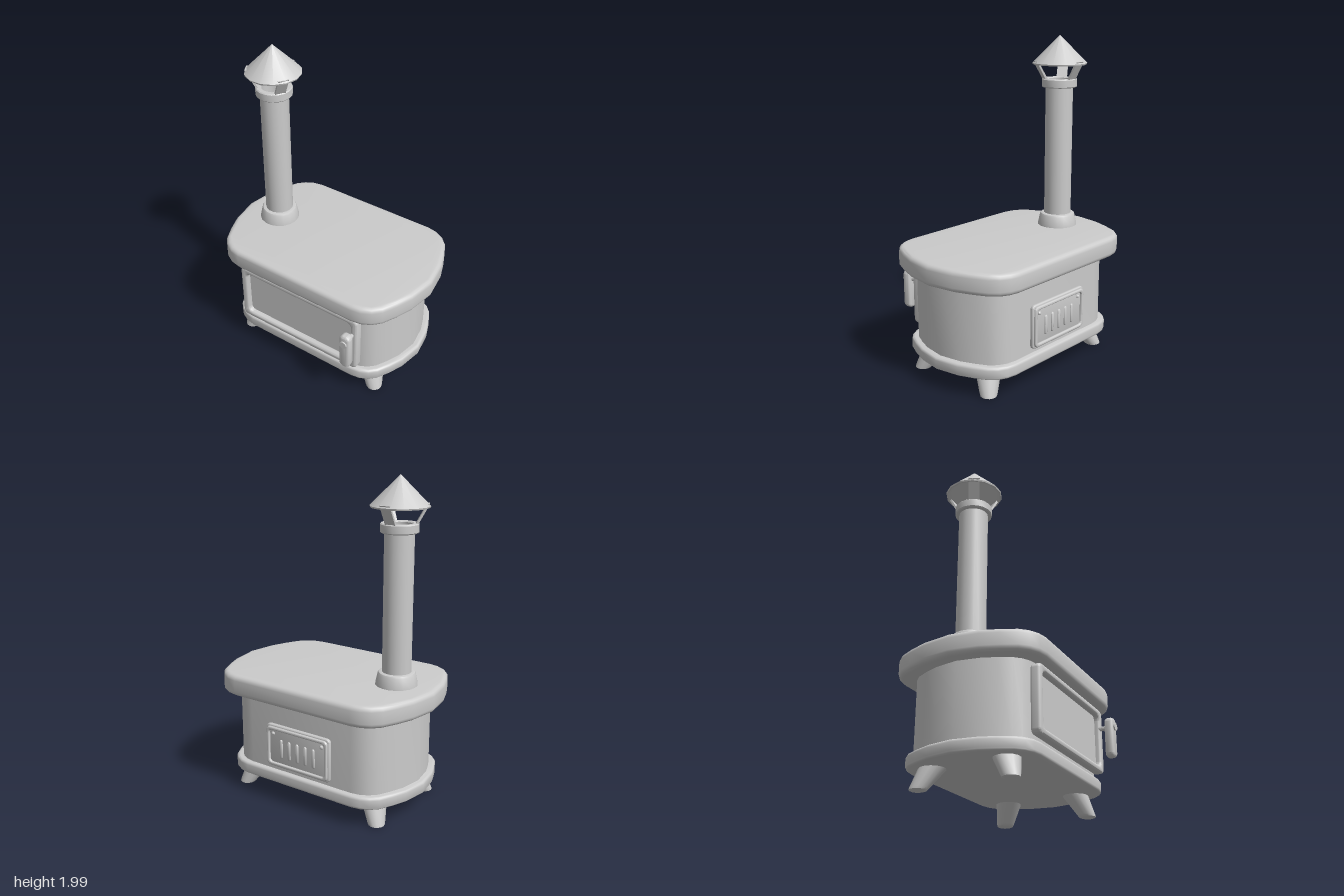
import * as THREE from 'three';
import { toCreasedNormals } from 'three/addons/utils/BufferGeometryUtils.js';

const CZ = -0.03; // depth centre of the stove body
const FLUE = [-0.445, -0.035]; // x, z of the chimney

export function createModel() {
  const root = new THREE.Group();
  root.name = 'woodStove';
  const mat = new THREE.MeshStandardMaterial({ color: 0xcccccc });
  const matDouble = new THREE.MeshStandardMaterial({ color: 0xcccccc, side: THREE.DoubleSide });

  function add(name, geo, x = 0, y = 0, z = 0, parent = root, crease = 0.7, m = mat) {
    const mesh = new THREE.Mesh(toCreasedNormals(geo, crease), m);
    mesh.name = name;
    mesh.position.set(x, y, z);
    parent.add(mesh);
    return mesh;
  }

  // Extrusion whose bevel stays inside the outline; runs from 0 to depth
  function extrude(shape, depth, bevel) {
    const geo = new THREE.ExtrudeGeometry(shape, {
      depth: depth - 2 * bevel, bevelEnabled: bevel > 0, bevelThickness: bevel,
      bevelSize: bevel, bevelOffset: -bevel, bevelSegments: 4, curveSegments: 6,
    });
    return geo.translate(0, 0, bevel);
  }

  // Bowed oblong plan of half-width hx and half-depth hz
  function plan(hx, hz) {
    const q = [[0.42, 0.46], [0.485, 0.448], [0.54, 0.418], [0.585, 0.37], [0.628, 0.28], [0.667, 0.175]];
    const flip = (sx, sz) => q.map(([x, z]) => [sx * x, sz * z]);
    const loop = [...flip(1, -1), [0.695, 0], ...flip(1, 1).reverse(),
      ...flip(-1, 1), [-0.695, 0], ...flip(-1, -1).reverse()];
    return new THREE.Shape(loop.map(([x, z]) => new THREE.Vector2(x * hx / 0.695, z * hz / 0.46)));
  }

  function slab(name, hx, hz, y0, y1, bevel) {
    add(name, extrude(plan(hx, hz), y1 - y0, bevel).rotateX(-Math.PI / 2), 0, y0, CZ);
  }

  function roundRect(w, h, r, path = new THREE.Shape()) {
    const x = w / 2, y = h / 2;
    path.moveTo(-x + r, -y).lineTo(x - r, -y).absarc(x - r, -y + r, r, -Math.PI / 2, 0)
      .lineTo(x, y - r).absarc(x - r, y - r, r, 0, Math.PI / 2)
      .lineTo(-x + r, y).absarc(-x + r, y - r, r, Math.PI / 2, Math.PI)
      .lineTo(-x, -y + r).absarc(-x + r, -y + r, r, Math.PI, Math.PI * 1.5);
    return path;
  }

  const lathe = (pts, sides) => new THREE.LatheGeometry(
    pts.map(([r, y]) => new THREE.Vector2(r, y)), sides, Math.PI / 2);

  // Firebox and its two plates
  slab('basePlate', 0.645, 0.4, 0.135, 0.213, 0.018);
  slab('firebox', 0.607, 0.368, 0.2, 0.68, 0);
  slab('cooktop', 0.695, 0.458, 0.66, 0.79, 0.03);

  // Four splayed feet
  for (const sx of [-1, 1]) for (const sz of [-1, 1]) {
    const geo = lathe([[0, 0.01], [0.038, 0.01], [0.049, 0.014], [0.053, 0.026], [0.08, 0.15], [0, 0.15]], 14);
    const p = geo.attributes.position;
    for (let i = 0; i < p.count; i++) {
      const t = 1 - p.getY(i) / 0.15;
      p.setX(i, p.getX(i) + sx * (0.435 + 0.065 * t));
      p.setZ(i, p.getZ(i) + sz * (0.22 + 0.065 * t));
    }
    geo.computeVertexNormals();
    add('foot', geo, 0, 0, CZ);
  }

  // Door: frame, recessed panel and latch
  const door = new THREE.Group();
  door.name = 'door';
  door.position.set(0, 0.442, 0.33);
  root.add(door);
  const frame = roundRect(0.885, 0.4, 0.035);
  frame.holes.push(roundRect(0.79, 0.315, 0.03, new THREE.Path()));
  add('doorFrame', extrude(frame, 0.06, 0.016), 0, 0, 0, door);
  add('doorPanel', extrude(roundRect(0.83, 0.35, 0.03), 0.026, 0), 0, 0, 0, door);

  const rod = (r, len) => new THREE.CylinderGeometry(r, r, len, 12).rotateX(Math.PI / 2);
  add('handle', extrude(roundRect(0.074, 0.248, 0.032), 0.056, 0.018), 0.41, 0.454, 0.424);
  add('handlePin', rod(0.014, 0.08), 0.41, 0.52, 0.4);
  add('handleBolt', rod(0.024, 0.03), 0.41, 0.52, 0.474);

  // Rear vent plate with rim, louvres and screws
  const vent = new THREE.Group();
  vent.name = 'rearVent';
  vent.position.set(0, 0.376, -0.393);
  vent.rotation.y = Math.PI;
  root.add(vent);
  add('ventPlate', extrude(roundRect(0.47, 0.272, 0.025), 0.026, 0.008), 0, 0, 0, vent);
  const rim = roundRect(0.45, 0.25, 0.025);
  rim.holes.push(roundRect(0.41, 0.21, 0.02, new THREE.Path()));
  add('ventRim', extrude(rim, 0.022, 0.008), 0, 0, 0.018, vent);
  for (let i = -2; i <= 2; i++) {
    const louvre = new THREE.CapsuleGeometry(0.012, 0.1, 4, 10);
    add('louvre', louvre, i * 0.06, -0.01, 0.023, vent);
  }
  for (const s of [-1, 1]) add('screw', new THREE.SphereGeometry(0.012, 10, 6), s * 0.18, 0.08, 0.026, vent);

  // Chimney: collar, pipe, ring and hooded cap
  const chimney = new THREE.Group();
  chimney.name = 'chimney';
  chimney.position.set(FLUE[0], 0, FLUE[1]);
  root.add(chimney);
  add('collar', lathe([[0.126, 0.78], [0.125, 0.8], [0.113, 0.855], [0.107, 0.866], [0.095, 0.87], [0.08, 0.87]], 18),
    0, 0, 0, chimney);
  add('pipe', lathe([[0.087, 0.8], [0.087, 1.7]], 18), 0, 0, 0, chimney, 0.7, matDouble);
  add('pipeRing', lathe([[0.08, 1.68], [0.105, 1.68], [0.111, 1.686], [0.111, 1.729], [0.105, 1.735],
    [0.08, 1.735], [0.074, 1.729], [0.074, 1.6], [0, 1.6]], 18), 0, 0, 0, chimney);
  add('cap', lathe([[0, 1.975], [0.145, 1.832], [0.16, 1.821], [0.168, 1.821], [0.171, 1.83], [0, 2]], 14),
    0, 0, 0, chimney, 0.6, matDouble);

  // Three slanted stays carrying the cap
  for (let i = 0; i < 3; i++) {
    const stay = new THREE.BoxGeometry(0.066, 0.125, 0.014);
    const p = stay.attributes.position;
    for (let k = 0; k < p.count; k++) p.setZ(k, p.getZ(k) + 0.122 + 0.55 * p.getY(k));
    stay.computeVertexNormals();
    add('capStay', stay, 0, 1.78, 0, chimney).rotation.y = Math.PI + i * Math.PI * 2 / 3;
  }

  return root;
}
